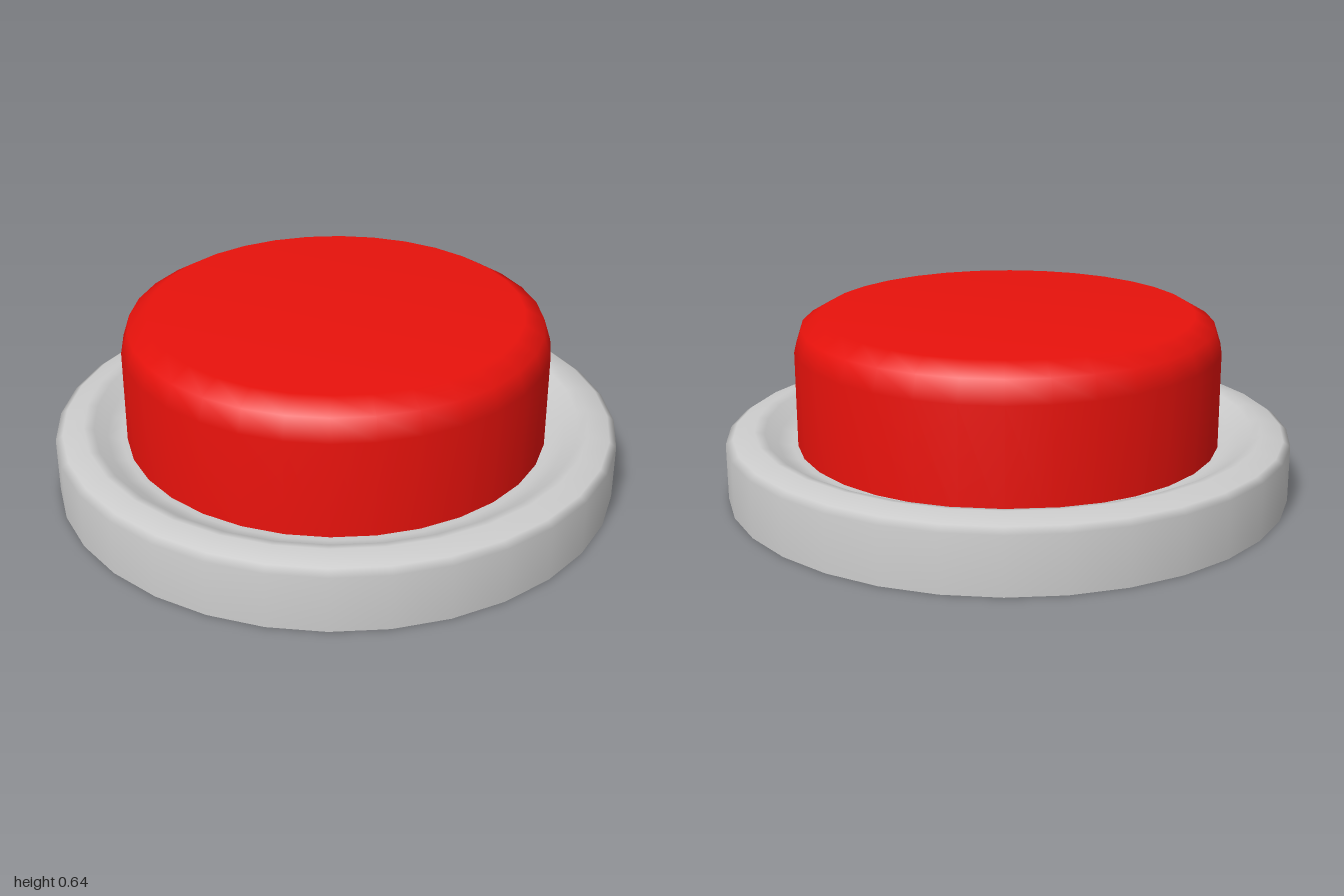
import * as THREE from 'three';

const SEGMENTS = 32;

// Revolved part; a repeated profile point gives a sharp edge.
function lathePart(name, profile, color) {
  const points = profile.map(([r, y]) => new THREE.Vector2(r, y));
  const mesh = new THREE.Mesh(
    new THREE.LatheGeometry(points, SEGMENTS),
    new THREE.MeshStandardMaterial({ color })
  );
  mesh.name = name;
  return mesh;
}

export function createModel() {
  const group = new THREE.Group();
  group.name = 'pushButton';

  // Base ring: flat underside, rounded rim, shallow groove around the button
  group.add(lathePart('base', [
    [0, 0], [1, 0], [1, 0], [1, 0.2], [0.975, 0.217], [0.9, 0.238],
    [0.865, 0.23], [0.82, 0.195], [0.77, 0.18], [0.7, 0.18],
  ], 0xcccccc));

  // Button cap: straight wall with a bevelled upper edge and flat top
  group.add(lathePart('buttonCap', [
    [0.75, 0.1], [0.75, 0.52], [0.725, 0.597], [0.655, 0.638], [0, 0.638],
  ], 0xe8120c));

  return group;
}
